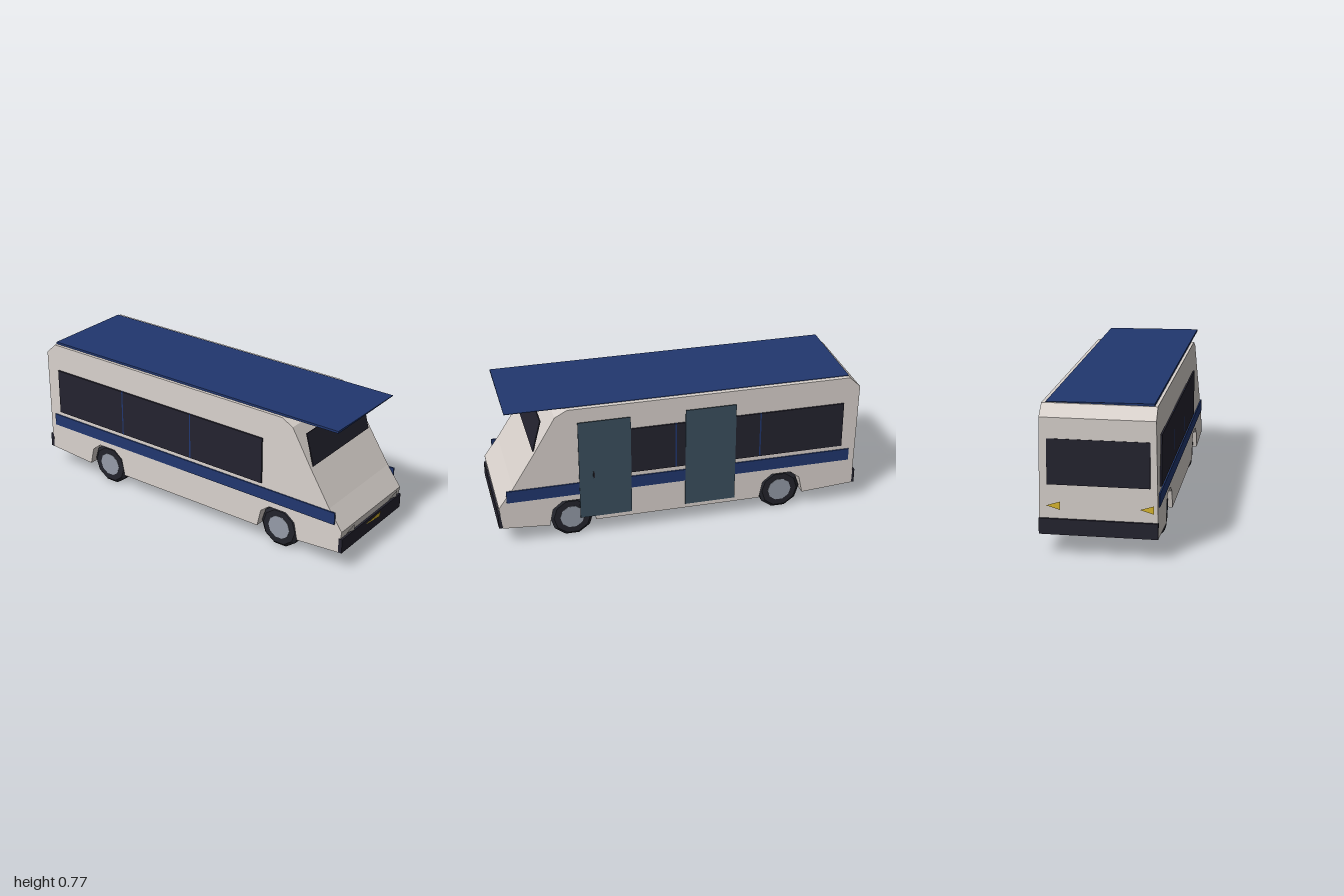
import * as THREE from 'three';

const mat = (name, color, side = THREE.FrontSide) => {
  const m = new THREE.MeshStandardMaterial({ color, side });
  m.name = name;
  return m;
};

export function createModel() {
  const bus = new THREE.Group();
  bus.name = 'minibus';
  const white = mat('bodyWhite', 0xd8d1cc);
  const glass = mat('darkGlass', 0x24232f);
  const blue = mat('stripeBlue', 0x21376f);
  const slate = mat('doorSlate', 0x3b505f);
  const rubber = mat('tyreRubber', 0x23242c);
  const steel = mat('hubSteel', 0x959ca8);
  const yellow = mat('signalYellow', 0xd6b52f, THREE.DoubleSide);
  const lamp = mat('lampGrey', 0xc4c0bb, THREE.DoubleSide);
  rubber.flatShading = true;

  const add = (name, geometry, material, parent = bus) => {
    const mesh = new THREE.Mesh(geometry, material);
    mesh.name = name;
    parent.add(mesh);
    return mesh;
  };
  // Box given by its minimum and maximum on each axis
  const box = (name, material, [x0, x1], [y0, y1], [z0, z1]) => {
    const g = new THREE.BoxGeometry(x1 - x0, y1 - y0, z1 - z0);
    g.translate((x0 + x1) / 2, (y0 + y1) / 2, (z0 + z1) / 2);
    return add(name, g, material);
  };

  // Body shell: side profile with wheel arches, leaning inwards to the roof
  const wheelX = [-0.57, 0.59];
  const arch = (cx) => [[0.125, 0.09], [0.105, 0.185], [0.053, 0.226],
    [-0.053, 0.226], [-0.105, 0.185], [-0.125, 0.09]].map(([x, y]) => [cx + x, y]);
  const profile = [
    [-0.985, 0.11], [-1, 0.7], [-0.94, 0.757], [0.6, 0.757], [0.665, 0.722],
    [0.78, 0.53], [0.9, 0.34], [0.98, 0.23], [0.965, 0.108],
    ...arch(wheelX[1]), ...arch(wheelX[0]),
  ].map(([x, y]) => new THREE.Vector2(x, y));
  const bodyGeo = new THREE.ExtrudeGeometry(new THREE.Shape(profile), { depth: 1, bevelEnabled: false });
  const p = bodyGeo.attributes.position;
  for (let i = 0; i < p.count; i++) {
    const half = 0.295 - (p.getY(i) - 0.09) * 0.018;
    p.setZ(i, p.getZ(i) > 0.5 ? half : -half);
  }
  bodyGeo.computeVertexNormals();
  add('body', bodyGeo, white);

  // Thin roof sheet that overhangs the windscreen and slopes across the width
  const roof = box('roofSheet', blue, [-0.94, 0.92], [0.758, 0.768], [-0.262, 0.268]);
  const r = roof.geometry.attributes.position;
  for (let i = 0; i < r.count; i++) {
    if (r.getY(i) > 0.763) r.setY(i, r.getZ(i) > 0 ? 0.77 : 0.763);
    else if (r.getZ(i) < 0) r.setY(i, 0.76);
  }
  roof.geometry.computeVertexNormals();

  // Side windows, dividers and stripes on both sides
  for (const s of [1, -1]) {
    const side = s > 0 ? 'left' : 'right';
    const depth = (a, b) => (s > 0 ? [a, b] : [-b, -a]);
    const zs = s > 0 ? depth(0.291, 0.3) : depth(0.288, 0.297);
    for (const [x0, x1] of [[-0.91, -0.445], [-0.437, 0.021], [0.029, 0.49]])
      box(side === 'left' ? 'sideWindowLeft' : 'sideWindowRight', glass, [x0, x1], [0.353, 0.612], zs);
    for (const x of [-0.441, 0.025])
      box('windowDivider', blue, [x - 0.004, x + 0.004], [0.353, 0.612], zs);
    box(side + 'Stripe', blue, [-0.955, 0.937], [0.26, 0.328], depth(0.289, 0.2975));
  }

  // Two entry doors on one side, the front one with a handle
  for (const [x0, x1] of [[0.27, 0.55], [-0.303, -0.026]])
    box('door', slate, [x0, x1], [0.115, 0.685], [-0.301, -0.296]);
  box('doorHandle', rubber, [0.468, 0.476], [0.35, 0.39], [-0.304, -0.3]);

  // Windscreen stands steeper than the nose
  const screen = add('windscreen', new THREE.BoxGeometry(0.006, 0.176, 0.532), glass);
  screen.position.set(0.759, 0.617, 0.001);
  screen.rotation.z = Math.atan2(0.045, 0.17);
  box('rearWindow', glass, [-1.0, -0.991], [0.365, 0.595], [-0.25, 0.255]);

  // Bumpers
  box('frontBumper', glass, [0.965, 0.986], [0.11, 0.19], [-0.293, 0.295]);
  box('rearBumper', glass, [-1.0, -0.98], [0.11, 0.19], [-0.293, 0.295]);

  // Triangular plates from three [x, y, z] corners
  const triangle = (name, material, ...corners) => {
    const g = new THREE.BufferGeometry();
    g.setAttribute('position', new THREE.Float32BufferAttribute(corners.flat(), 3));
    g.computeVertexNormals();
    add(name, g, material);
  };
  for (const z of [0.175, -0.252])
    triangle('headlight', lamp, [0.984, 0.19, z], [0.984, 0.207, z + 0.081], [0.985, 0.226, z]);
  triangle('numberPlate', yellow, [0.99, 0.155, -0.07], [0.988, 0.172, 0.07], [0.996, 0.19, -0.07]);
  for (const z of [-0.255, 0.205])
    triangle('rearLight', yellow, [-1, 0.258, z], [-1, 0.238, z + 0.07], [-1, 0.28, z + 0.07]);

  // Ten-sided wheels with chamfered tyres and flat hubs
  const tyre = [[0, -0.041], [0.1, -0.041], [0.118, -0.026], [0.118, 0.026], [0.1, 0.041], [0, 0.041]]
    .map(([x, y]) => new THREE.Vector2(x, y));
  const tyreGeo = new THREE.LatheGeometry(tyre, 10, Math.PI / 2);
  const hubGeo = new THREE.CylinderGeometry(0.066, 0.066, 0.086, 10, 1, false, Math.PI / 2);
  for (const x of wheelX) for (const z of [0.233, -0.231]) {
    const wheel = new THREE.Group();
    wheel.name = 'wheel';
    wheel.position.set(x, 0.1122, z);
    wheel.rotation.x = Math.PI / 2;
    add('tyre', tyreGeo, rubber, wheel);
    add('hub', hubGeo, steel, wheel);
    bus.add(wheel);
  }
  return bus;
}
